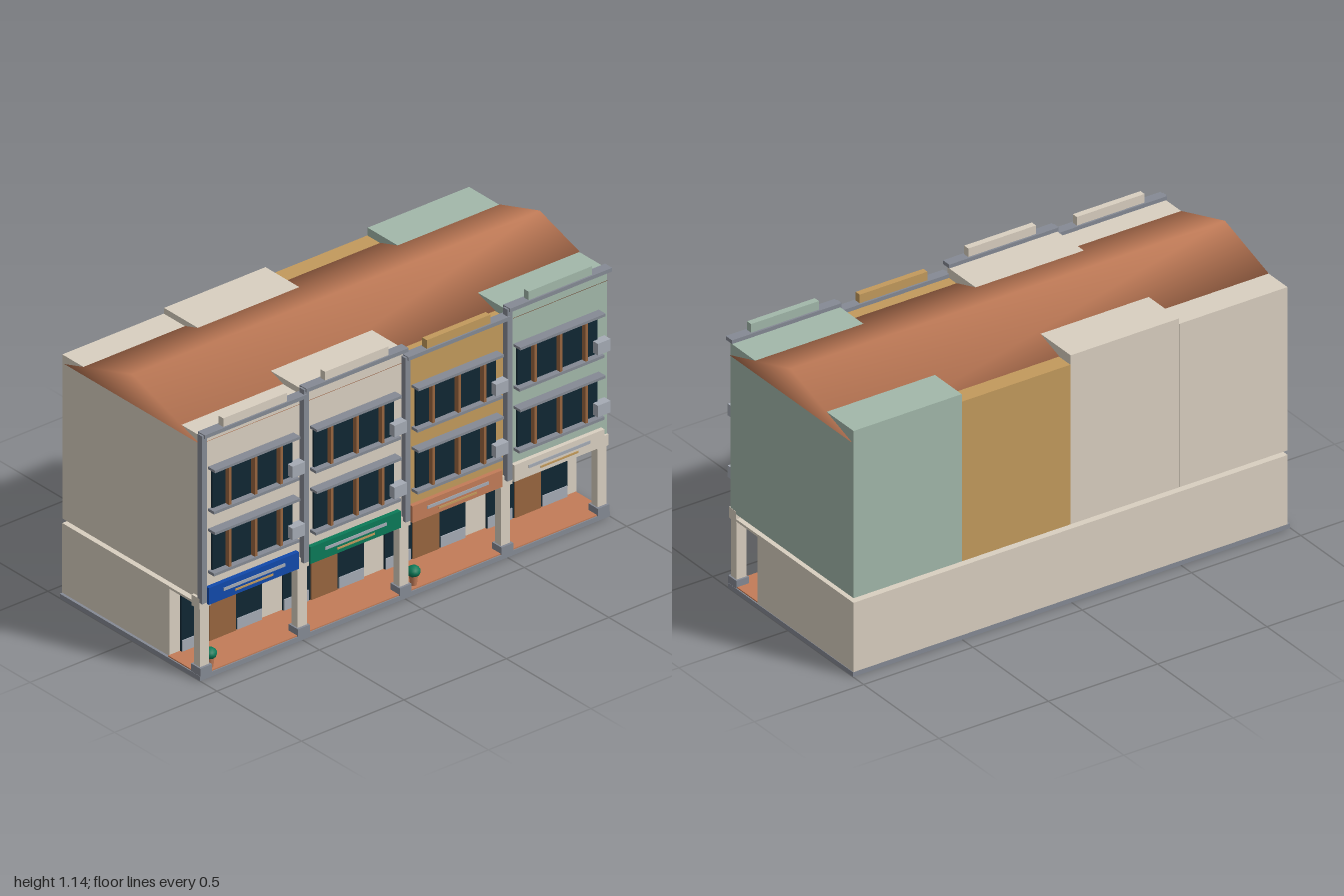
import * as THREE from 'three';

const mat = (name, color) => {
  const m = new THREE.MeshStandardMaterial({ color });
  m.name = name;
  return m;
};

export function createModel() {
  const cream = mat('cream plaster', 0xd9cfc0);
  const terracotta = mat('terracotta', 0xc27c58);
  const ochre = mat('ochre plaster', 0xc29a5c);
  const mint = mat('mint plaster', 0xa2b8aa);
  const gray = mat('gray trim', 0x858a94);
  const pale = mat('pale gray metal', 0xa5abb5);
  const glass = mat('dark glass', 0x102733);
  const wood = mat('brown wood', 0x98653f);
  const blue = mat('blue sign', 0x1149ab);
  const green = mat('green sign', 0x0b7a58);

  const root = new THREE.Group();
  root.name = 'shophouseRow';

  const add = (parent, name, geo, material) => {
    const mesh = new THREE.Mesh(geo, material);
    mesh.name = name;
    parent.add(mesh);
    return mesh;
  };
  // Box given by its extents on each axis
  const box = (parent, name, material, x0, x1, y0, y1, z0, z1) => {
    const mesh = add(parent, name, new THREE.BoxGeometry(x1 - x0, y1 - y0, z1 - z0), material);
    mesh.position.set((x0 + x1) / 2, (y0 + y1) / 2, (z0 + z1) / 2);
    return mesh;
  };

  const BACK = -0.43, WALL = 0.385, SHOP = 0.205;

  // Ground storey: slab, tiled walkway, shop block, walkway ceiling
  box(root, 'baseSlab', gray, BACK, 0.4, 0, 0.02, -1, 1);
  box(root, 'walkwayTiles', terracotta, SHOP, 0.395, 0.02, 0.025, -0.995, 0.995);
  box(root, 'groundFloor', cream, BACK, SHOP, 0.02, 0.32, -0.998, 0.988);
  box(root, 'walkwayCeiling', cream, SHOP, 0.375, 0.309, 0.319, -0.998, 0.988);

  // Long gable roof, one smooth surface over the ridge
  const ridge = 1.14, eave = 1.011, half = 0.402, rx = -0.015;
  const roofGeo = new THREE.BufferGeometry();
  const roofPoints = [];
  for (const z of [0.988, -1]) {
    roofPoints.push(rx - half, eave, z, rx + half, eave, z, rx, ridge, z);
  }
  roofGeo.setAttribute('position', new THREE.Float32BufferAttribute(roofPoints, 3));
  roofGeo.setIndex([0, 1, 2, 4, 3, 5, 1, 4, 5, 1, 5, 2, 3, 0, 2, 3, 2, 5, 0, 3, 4, 0, 4, 1]);
  roofGeo.computeVertexNormals();
  add(root, 'roof', roofGeo, terracotta);

  // Walkway columns
  for (const z of [0.97, 0.493, -0.004, -0.5, -0.97]) {
    const column = new THREE.Group();
    column.name = 'column';
    column.position.z = z;
    root.add(column);
    box(column, 'columnBase', gray, 0.345, 0.4, 0.02, 0.053, -0.029, 0.029);
    box(column, 'columnShaft', cream, 0.353, 0.39, 0.053, 0.31, -0.022, 0.022);
    box(column, 'columnCapital', cream, 0.348, 0.394, 0.305, 0.352, -0.029, 0.029);
  }

  const units = [
    { wall: cream, sign: blue, top: 1.047, plant: true },
    { wall: cream, sign: green, top: 1.071 },
    { wall: ochre, sign: terracotta, top: 1.031, plant: true },
    { wall: mint, sign: cream, top: 1.064 },
  ];

  units.forEach(({ wall, sign, top, plant }, i) => {
    const unit = new THREE.Group();
    unit.name = 'house' + (i + 1);
    unit.position.z = 0.74 - i * 0.4967;
    root.add(unit);
    const w = 0.2475;

    // Upper storeys with pilaster, cornice and parapet
    box(unit, 'upperFloors', wall, BACK, WALL, 0.34, top, -w, w);
    box(unit, 'pilaster', gray, WALL, 0.411, 0.335, top + 0.012, w - 0.013, w + 0.0115);
    box(unit, 'cornice', gray, 0.375, 0.417, top, top + 0.016, -w, w + 0.003);
    box(unit, 'parapet', wall, 0.383, 0.41, top + 0.016, top + 0.053, -0.155, 0.155);

    // Window bands on two floors
    for (const y of [0.45, 0.717]) {
      const band = new THREE.Group();
      band.name = 'windowBand';
      band.position.y = y;
      unit.add(band);
      box(band, 'windowGlass', glass, WALL, 0.394, 0, 0.175, -0.195, 0.195);
      box(band, 'windowSill', gray, WALL, 0.42, -0.009, 0.003, -0.208, 0.208);
      box(band, 'windowLintel', gray, WALL, 0.426, 0.172, 0.183, -0.208, 0.208);
      for (const z of [-0.125, 0, 0.125]) {
        box(band, 'mullion', wood, 0.39, 0.416, 0.003, 0.172, z - 0.006, z + 0.006);
      }
      box(band, 'airConditioner', pale, WALL, 0.422, 0.013, 0.063, -0.235, -0.173);
    }

    // Sign board with plain stripes
    box(unit, 'signBoard', sign, WALL, 0.404, 0.316, 0.388, -0.22, 0.22);
    box(unit, 'signStripe', pale, 0.404, 0.407, 0.352, 0.365, -0.15, 0.15);
    box(unit, 'signStripeShort', ochre, 0.404, 0.407, 0.333, 0.341, -0.092, 0.092);

    // Shopfront and ceiling lamp
    box(unit, 'shopGlass', glass, SHOP, 0.213, 0.025, 0.278, -0.197, 0.197);
    box(unit, 'shopDoor', wood, 0.21, 0.219, 0.025, 0.216, -0.064, 0.064);
    for (const s of [-1, 1]) {
      const z = s * 0.134;
      box(unit, 'shopPanel', pale, 0.21, 0.217, 0.025, 0.072, z - 0.06, z + 0.06);
    }
    box(unit, 'ceilingLamp', ochre, 0.28, 0.311, 0.302, 0.309, -0.073, 0.073);

    // Potted plant
    if (plant) {
      const pot = add(unit, 'plantPot', new THREE.CylinderGeometry(0.018, 0.013, 0.045, 10), terracotta);
      pot.position.set(0.37, 0.0475, 0.187);
      const leaves = add(unit, 'plantLeaves', new THREE.IcosahedronGeometry(0.028, 1), green);
      leaves.scale.y = 0.85;
      leaves.position.set(0.37, 0.083, 0.187);
    }
  });

  return root;
}
